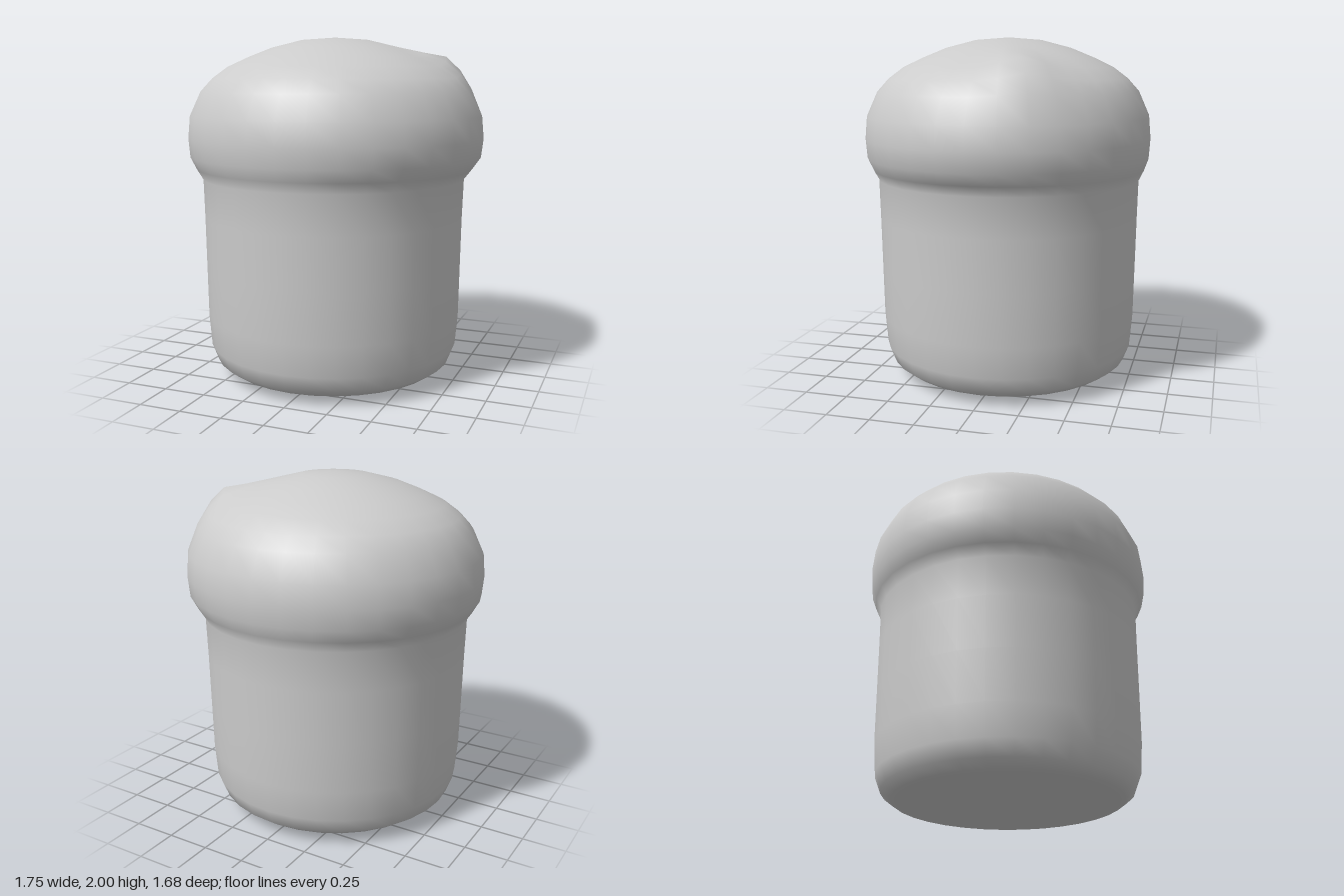
import * as THREE from 'three';
import { mergeVertices } from 'three/addons/utils/BufferGeometryUtils.js';

const SEGMENTS = 32;

export function createModel() {
  const group = new THREE.Group();
  group.name = 'cork';

  // radius, height from the underside up over the domed cap
  const profile = [
    [0, 0], [0.4, 0.008], [0.65, 0.045], [0.71, 0.09], [0.745, 0.18], [0.76, 0.36],
    [0.765, 0.65], [0.77, 0.95], [0.777, 1.18], [0.82, 1.24], [0.865, 1.31],
    [0.877, 1.42], [0.865, 1.55], [0.8, 1.69], [0.73, 1.765], [0.64, 1.83],
    [0.52, 1.885], [0.38, 1.94], [0.2, 1.985], [0, 2],
  ].map(([r, y]) => new THREE.Vector2(r, y));

  let geometry = new THREE.LatheGeometry(profile, SEGMENTS);
  geometry.deleteAttribute('uv');
  geometry.deleteAttribute('normal');
  geometry = mergeVertices(geometry, 1e-4);

  const pos = geometry.attributes.position;
  for (let i = 0; i < pos.count; i++) {
    let x = pos.getX(i), y = pos.getY(i), z = pos.getZ(i);
    // cap is a little narrower from front to back, stem sits slightly to one side
    const cap = THREE.MathUtils.smoothstep(y, 1.15, 1.35);
    z *= 1 - 0.045 * cap;
    x -= 0.01 * (1 - cap);
    // small raised lump on the left shoulder of the dome
    if (y > 1.6) {
      const d2 = (x - 0.6) ** 2 + (z + 0.24) ** 2;
      const lump = Math.exp(-d2 / 0.022);
      x += 0.02 * lump;
      y += 0.06 * lump;
    }
    pos.setXYZ(i, x, y, z);
  }
  geometry.computeVertexNormals();

  const body = new THREE.Mesh(geometry, new THREE.MeshStandardMaterial({ color: 0xcccccc }));
  body.name = 'stemAndDomedCap';
  group.add(body);
  return group;
}
